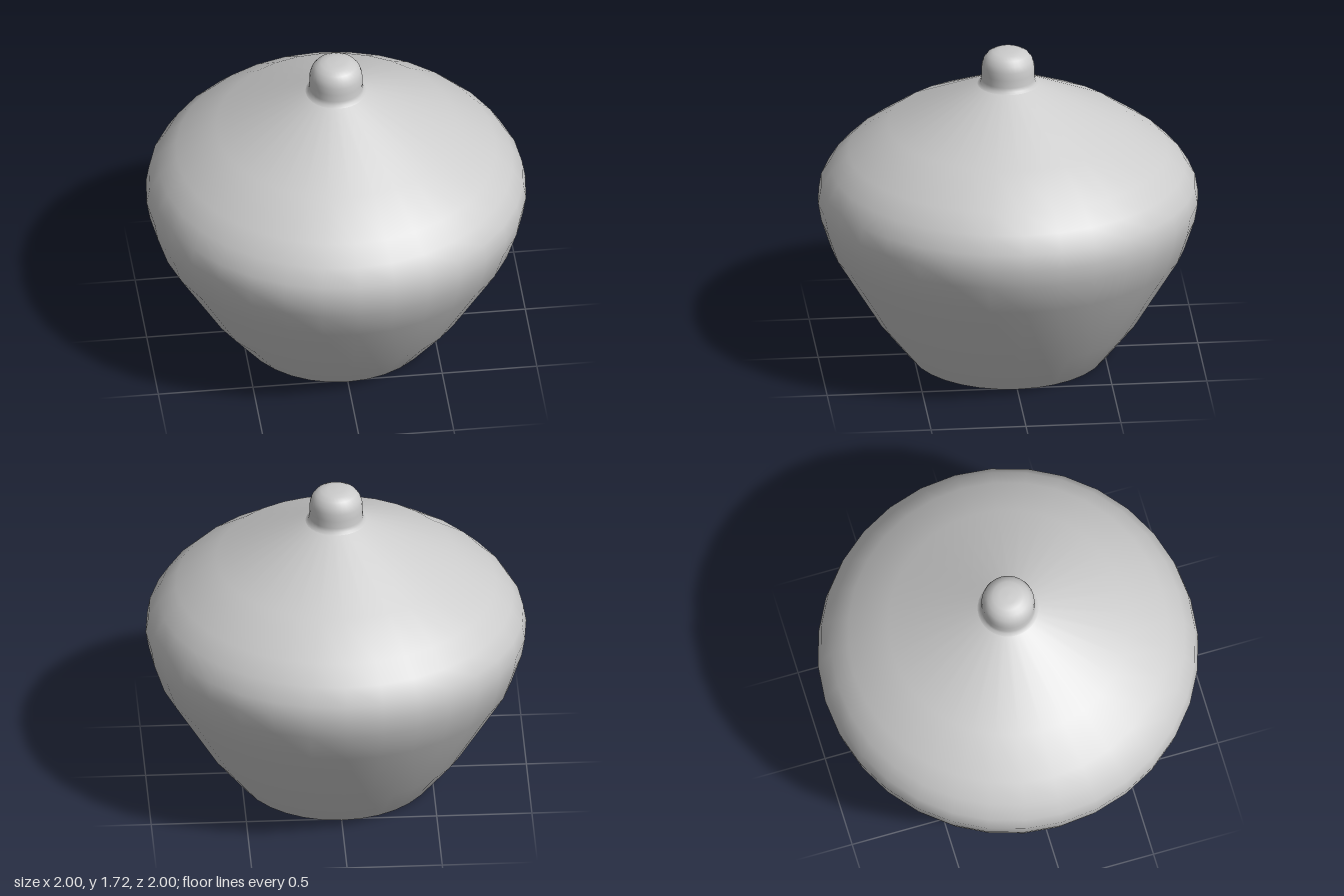
import * as THREE from 'three';

const SIDES = 32;
const WALL = 0.02;

export function createModel() {
  const group = new THREE.Group();
  const material = new THREE.MeshStandardMaterial({ color: 0xcccccc });

  const addLathe = (name, points) => {
    const profile = points.map(([r, y]) => new THREE.Vector2(r, y));
    const mesh = new THREE.Mesh(new THREE.LatheGeometry(profile, SIDES), material);
    mesh.name = name;
    group.add(mesh);
  };

  // Outer wall, from the open foot over the shoulder to the neck
  const outer = [
    [0.515, 0], [0.525, 0.012], [0.69, 0.22], [0.93, 0.62], [0.983, 0.78], [1, 0.88],
    [0.985, 0.97], [0.93, 1.06], [0.84, 1.15], [0.63, 1.3], [0.16, 1.53],
  ];
  addLathe('outerWall', outer);

  // Inner wall: the same curve set in by the wall thickness, facing inwards
  const inner = outer.map(([r, y]) => [r - WALL, y > 0.9 ? y - WALL * 0.8 : y]);
  inner.push([0, 1.53]);
  addLathe('innerWall', inner.reverse());

  // Narrow rim joining both walls at the opening
  addLathe('bottomRim', [[0.515 - WALL, 0], [0.515, 0]]);

  // Knob with a small flared collar and a domed top
  addLathe('topKnob', [
    [0.16, 1.53], [0.146, 1.54], [0.141, 1.56], [0.14, 1.6], [0.138, 1.64],
    [0.128, 1.672], [0.108, 1.698], [0.08, 1.714], [0.045, 1.72], [0, 1.721],
  ]);

  return group;
}
